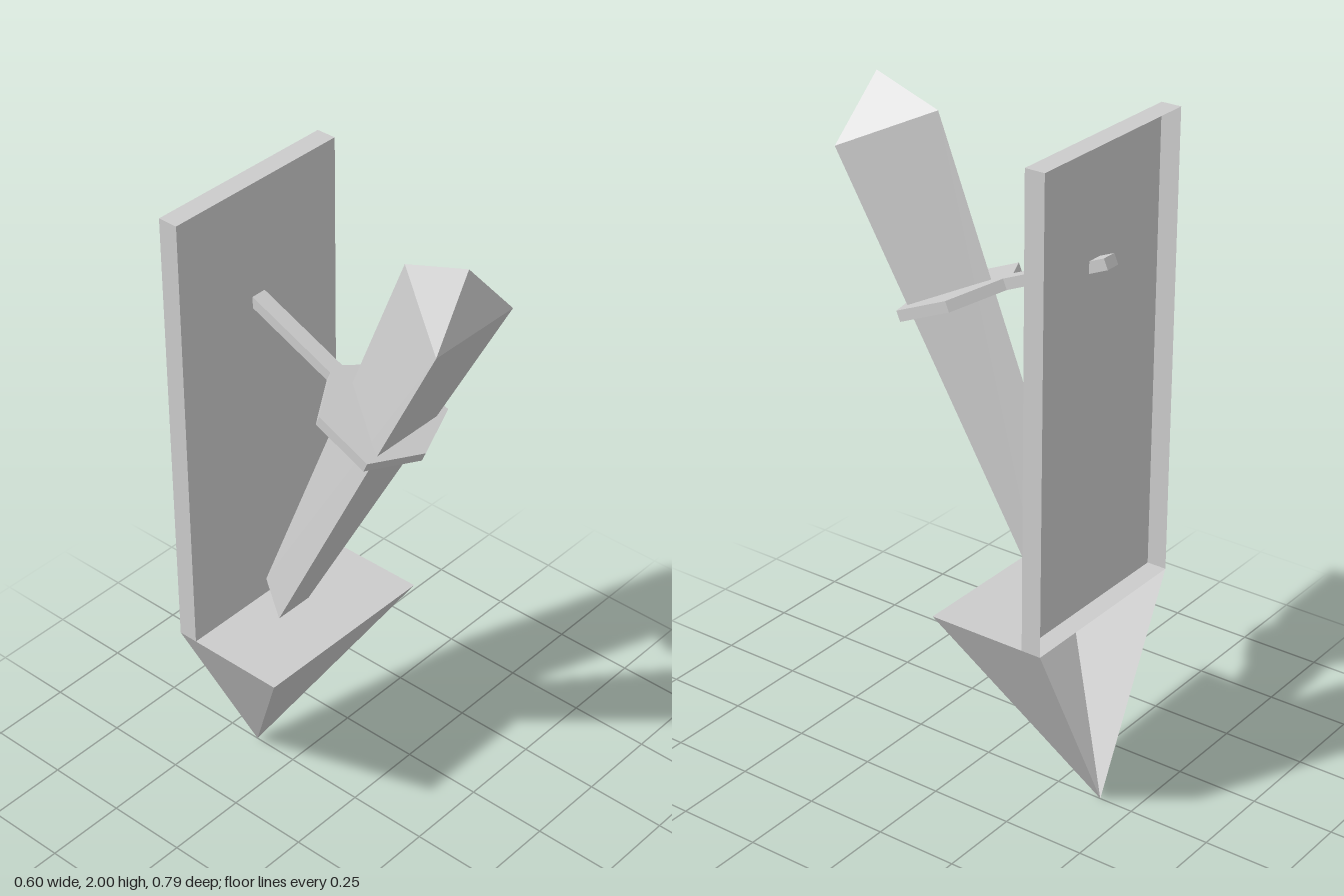
import * as THREE from 'three';

const material = new THREE.MeshStandardMaterial({ color: 0xcccccc, flatShading: true, side: THREE.DoubleSide });

function part(name, geometry) {
  const mesh = new THREE.Mesh(geometry, material);
  mesh.name = name;
  return mesh;
}

// Flat-faced geometry from a list of triangles of corner points
function faceted(triangles) {
  const geometry = new THREE.BufferGeometry();
  geometry.setAttribute('position', new THREE.Float32BufferAttribute(triangles.flat(2), 3));
  geometry.computeVertexNormals();
  return geometry;
}

export function createModel() {
  const model = new THREE.Group();
  model.name = 'wallTorch';

  // Back plate: shallow shell, open at the rear and where it meets the base
  const plate = new THREE.BoxGeometry(0.6, 1.365, 0.06);
  const index = Array.from(plate.index.array);
  plate.setIndex([...index.slice(0, 18), ...index.slice(24, 30)]);
  plate.clearGroups();
  plate.translate(0, 0.61 + 1.365 / 2, -0.365);
  model.add(part('backPlate', plate));

  // Pointed base: inverted pyramid with its tip against the wall, open at the rear
  const y = 0.61, x = 0.3, back = -0.395, front = -0.035;
  const p = [-x, y, back], q = [-x, y, front], r = [x, y, front], s = [x, y, back];
  const point = [0, 0, back];
  model.add(part('pointedBase', faceted([
    [q, r, s], [q, s, p],
    [q, point, r], [r, point, s], [p, point, q],
  ])));

  // Torch: leaning three-sided shaft, flaring up to a low peak
  const foot = [[-0.07, 0.61, -0.227], [0.055, 0.61, -0.227], [-0.006, 0.66, -0.335]];
  const head = [[-0.15, 1.825, 0.395], [0.15, 1.825, 0.395], [0, 1.93, 0.165]];
  const peak = [0, 2, 0.37];
  const torch = [[foot[0], foot[2], foot[1]]];
  for (let i = 0; i < 3; i++) {
    const j = (i + 1) % 3;
    torch.push([foot[i], foot[j], head[j]], [foot[i], head[j], head[i]], [head[i], head[j], peak]);
  }
  model.add(part('torch', faceted(torch)));

  // Bracket: sloping arm ending in a hexagonal collar around the torch
  const tilt = Math.atan2(0.431, 1);
  const outline = [
    [-0.03, -0.38], [0.017, -0.38], [0.017, -0.06], [0.163, 0.02], [0.163, 0.185],
    [0, 0.245], [-0.163, 0.185], [-0.163, 0.02], [-0.03, -0.06],
  ].map(([px, z]) => new THREE.Vector2(px, z / Math.cos(tilt)));
  const bracket = part('bracket', new THREE.ExtrudeGeometry(new THREE.Shape(outline), { depth: 0.032, bevelEnabled: false }));
  bracket.rotation.x = Math.PI / 2 + tilt;
  bracket.position.y = 1.49;
  model.add(bracket);

  return model;
}
